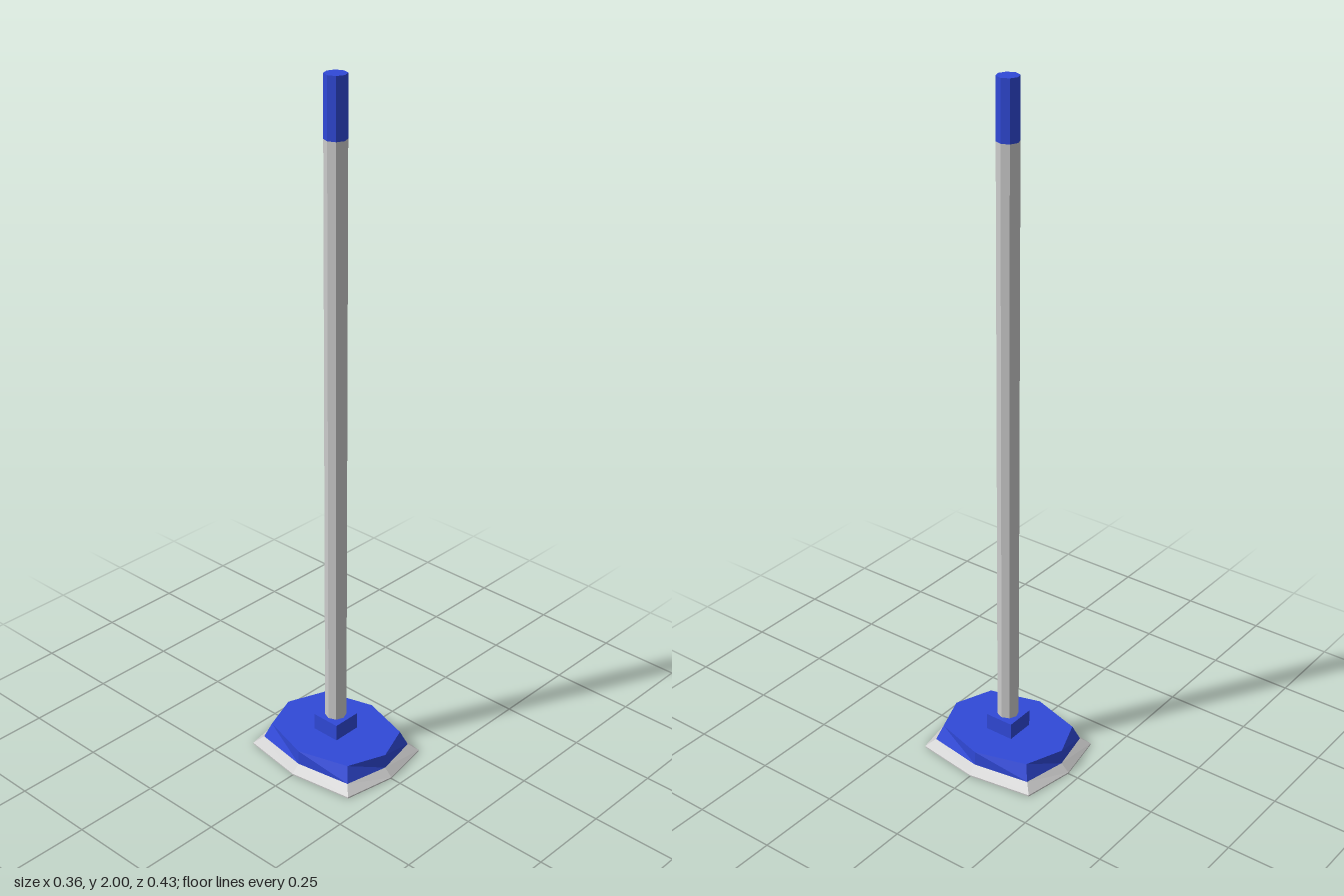
import * as THREE from 'three';

// Eight-sided ring: side midpoints at (mx, mz), corners at (cx, cz)
const ring = (y, mx, mz, cx, cz) => [
  [mx, y, 0], [cx, y, cz], [0, y, mz], [-cx, y, cz],
  [-mx, y, 0], [-cx, y, -cz], [0, y, -mz], [cx, y, -cz],
];

// Joins rings from bottom to top and caps both ends
function loft(rings) {
  const pos = [];
  const n = rings[0].length;
  const tri = (a, b, c) => pos.push(...a, ...b, ...c);
  for (let i = 0; i < n; i++) {
    const j = (i + 1) % n;
    for (let r = 0; r < rings.length - 1; r++) {
      const lo = rings[r], hi = rings[r + 1];
      tri(lo[i], hi[i], hi[j]);
      tri(lo[i], hi[j], lo[j]);
    }
    const bottom = rings[0], top = rings[rings.length - 1];
    tri([0, bottom[0][1], 0], bottom[i], bottom[j]);
    tri([0, top[0][1], 0], top[j], top[i]);
  }
  const geo = new THREE.BufferGeometry();
  geo.setAttribute('position', new THREE.Float32BufferAttribute(pos, 3));
  geo.computeVertexNormals();
  return geo;
}

export function createModel() {
  const group = new THREE.Group();
  const grey = new THREE.MeshStandardMaterial({ color: 0xcccccc, flatShading: true });
  const blue = new THREE.MeshStandardMaterial({ color: 0x3049d8, flatShading: true });

  const add = (name, geometry, material, y = 0) => {
    const mesh = new THREE.Mesh(geometry, material);
    mesh.name = name;
    mesh.position.y = y;
    group.add(mesh);
  };
  const rod = (y0, y1) => new THREE.CylinderGeometry(0.031, 0.031, y1 - y0, 8);

  // Flared skirt at floor level
  add('skirt', loft([
    ring(0, 0.18, 0.217, 0.152, 0.189),
    ring(0.004, 0.18, 0.217, 0.152, 0.189),
    ring(0.026, 0.156, 0.193, 0.129, 0.166),
  ]), grey);

  // Head: corners lean inwards, side midpoints rise straight
  add('head', loft([
    ring(0.026, 0.156, 0.193, 0.129, 0.166),
    ring(0.07, 0.156, 0.193, 0.112, 0.15),
  ]), blue);

  // Square socket holding the pole
  add('socket', new THREE.BoxGeometry(0.088, 0.05, 0.088), blue, 0.095);

  // Pole and grip
  add('pole', rod(0.07, 1.835), grey, (0.07 + 1.835) / 2);
  add('grip', rod(1.835, 2), blue, (1.835 + 2) / 2);

  return group;
}
